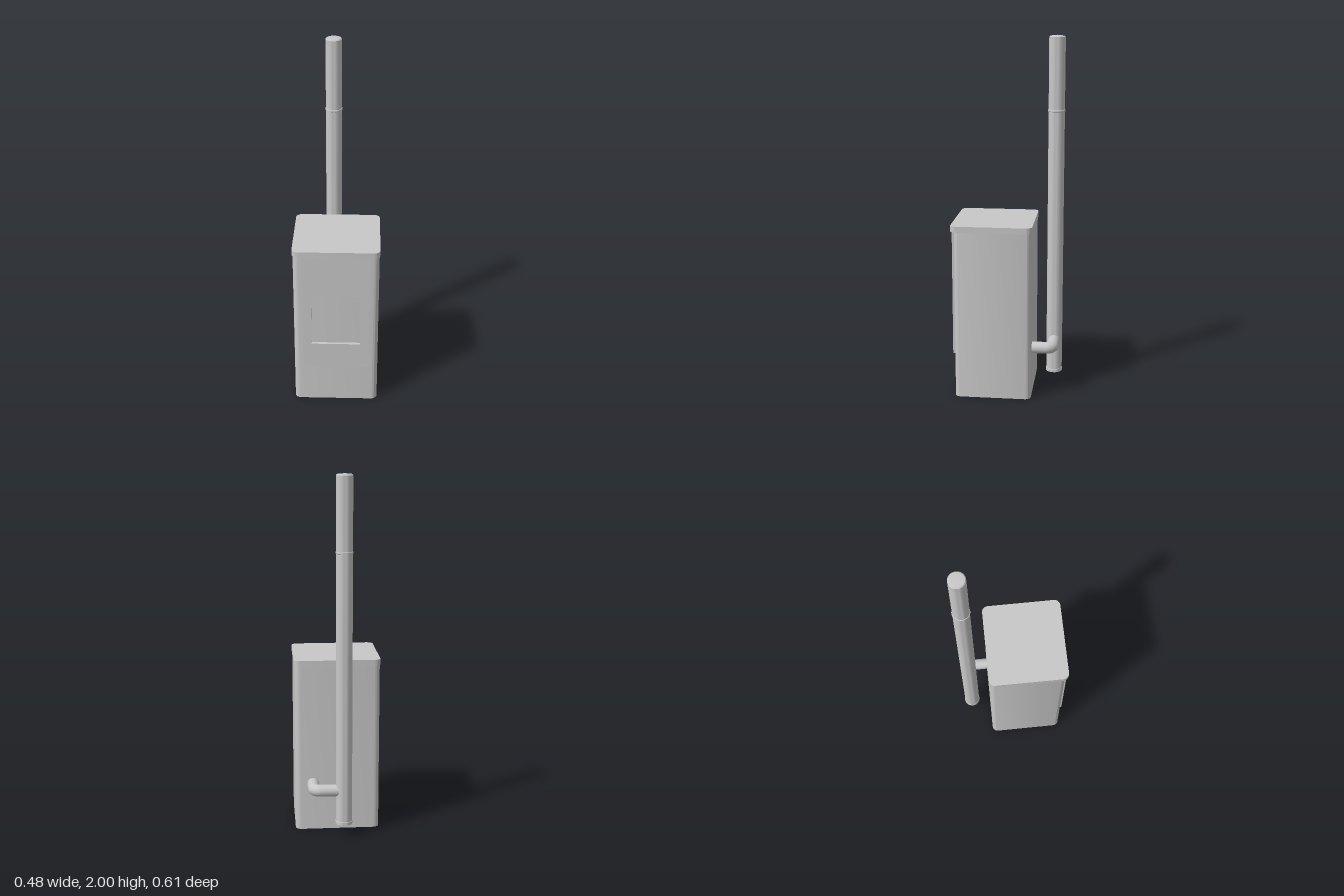
import * as THREE from 'three';
import { toCreasedNormals } from 'three/addons/utils/BufferGeometryUtils.js';

export function createModel() {
  const group = new THREE.Group();
  const steel = new THREE.MeshStandardMaterial({ color: 0xc8c8c8 });
  steel.name = 'light grey steel';

  function add(name, geometry, x = 0, y = 0, z = 0) {
    const mesh = new THREE.Mesh(geometry, steel);
    mesh.name = name;
    mesh.position.set(x, y, z);
    group.add(mesh);
    return mesh;
  }

  // Upright block with rounded vertical corners, standing on its base
  function roundedBlock(width, depth, height, r) {
    const w = width / 2, d = depth / 2;
    const s = new THREE.Shape();
    s.moveTo(-w + r, -d);
    s.absarc(w - r, -d + r, r, -Math.PI / 2, 0);
    s.absarc(w - r, d - r, r, 0, Math.PI / 2);
    s.absarc(-w + r, d - r, r, Math.PI / 2, Math.PI);
    s.absarc(-w + r, -d + r, r, Math.PI, Math.PI * 1.5);
    const g = new THREE.ExtrudeGeometry(s, { depth: height, bevelEnabled: false, curveSegments: 8 });
    return toCreasedNormals(g.rotateX(-Math.PI / 2), 0.6);
  }

  // Cabinet and its lid, which overhangs the front
  add('body', roundedBlock(0.474, 0.426, 0.952, 0.033), 0, 0, 0.072);
  add('lid', roundedBlock(0.48, 0.45, 0.033, 0.035), 0, 0.952, 0.08);

  // Door frame with a recessed window opening
  const frame = new THREE.Shape();
  frame.moveTo(-0.185, 0.237).lineTo(0.185, 0.237).lineTo(0.185, 0.952).lineTo(-0.185, 0.952);
  const opening = new THREE.Path();
  opening.moveTo(-0.137, 0.392).lineTo(-0.137, 0.706).lineTo(0.135, 0.706).lineTo(0.135, 0.392);
  frame.holes.push(opening);
  add('door', new THREE.ExtrudeGeometry(frame, { depth: 0.018, bevelEnabled: false }), 0, 0, 0.283);

  // Flue with a shallow domed top, a joint collar and a foot collar
  const flueX = -0.027, flueZ = -0.256;
  const profile = [[0, 0.08], [0.047, 0.08], [0.047, 0.097], [0.045, 0.099], [0.045, 1.586],
    [0.048, 1.588], [0.048, 1.596], [0.045, 1.598], [0.045, 1.99], [0.04, 1.996], [0, 2]]
    .map(([r, y]) => new THREE.Vector2(r, y));
  add('flue', toCreasedNormals(new THREE.LatheGeometry(profile, 32), 0.5), flueX, 0, flueZ);

  // Connecting pipe: out of the back, round an elbow, into the flue
  const pipeY = 0.273, r = 0.033, bend = 0.036, cx = 0.102, cz = flueZ + bend;
  const backLength = -0.13 - cz, sideLength = cx - flueX;
  add('pipeOutlet', new THREE.CylinderGeometry(r, r, backLength, 24).rotateX(Math.PI / 2),
    cx + bend, pipeY, cz + backLength / 2);
  add('pipeElbow', new THREE.TorusGeometry(bend, r, 24, 6, Math.PI / 2).rotateX(-Math.PI / 2),
    cx, pipeY, cz);
  add('pipeToFlue', new THREE.CylinderGeometry(r, r, sideLength, 24).rotateZ(Math.PI / 2),
    cx - sideLength / 2, pipeY, flueZ);

  return group;
}
